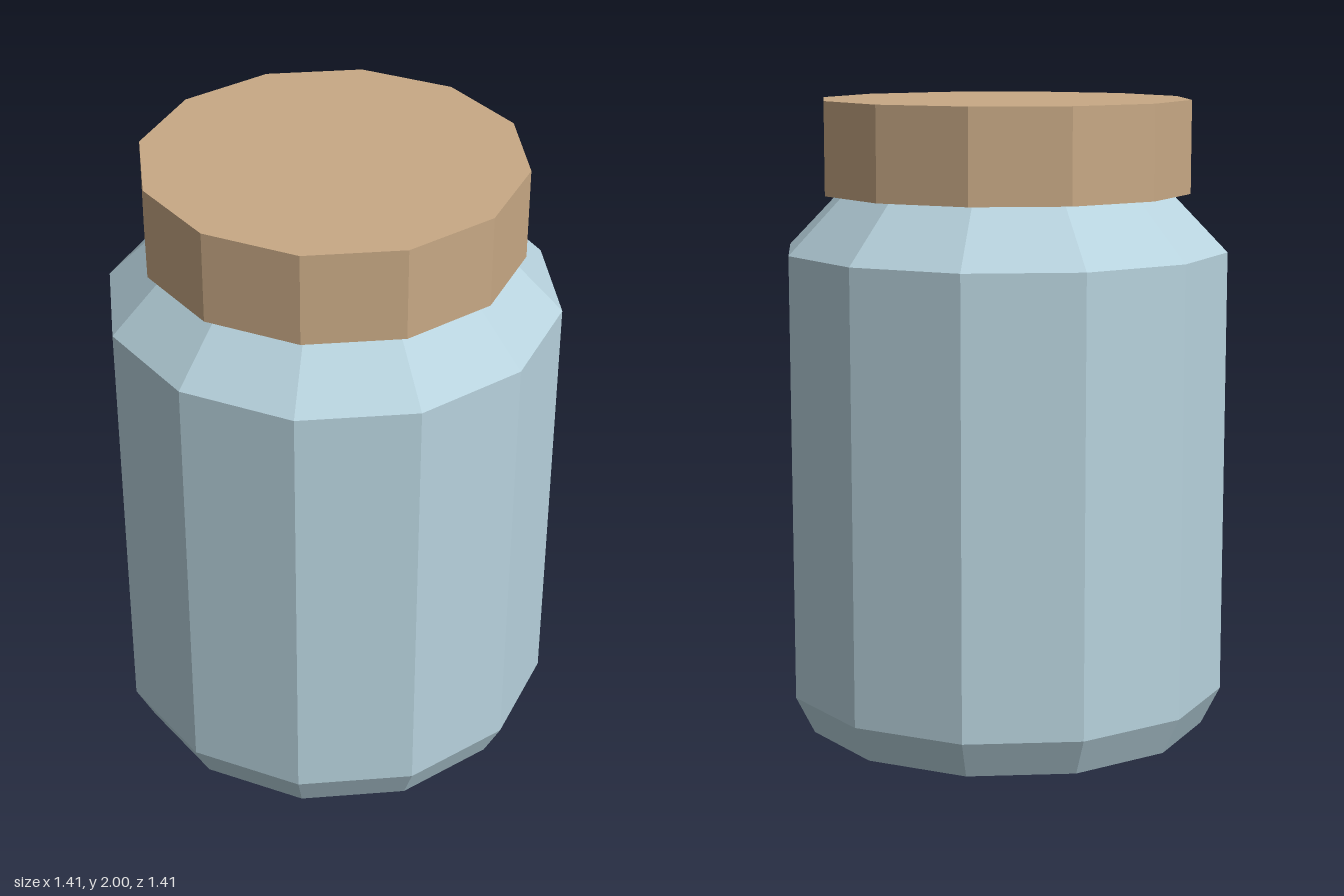
import * as THREE from 'three';

const SIDES = 12;

// Closed faceted solid turned from [radius, height] pairs, listed bottom to top
function turned(name, profile, material) {
  const points = profile.map(([r, y]) => new THREE.Vector2(r, y));
  const geometry = new THREE.LatheGeometry(points, SIDES).toNonIndexed();
  geometry.computeVertexNormals(); // one normal per facet
  const mesh = new THREE.Mesh(geometry, material);
  mesh.name = name;
  return mesh;
}

export function createModel() {
  const glass = new THREE.MeshStandardMaterial({ name: 'pale blue glass', color: 0xb8d3de, flatShading: true });
  const cork = new THREE.MeshStandardMaterial({ name: 'tan lid', color: 0xc8a985, flatShading: true });

  const jar = new THREE.Group();
  jar.name = 'jar';

  // Body: chamfered foot, straight wall, sloping shoulder up to the lid
  jar.add(turned('jarBody', [
    [0, 0], [0.645, 0], [0.705, 0.12], [0.705, 1.53], [0.53, 1.71], [0, 1.71],
  ].slice(0, 5), glass));

  // Lid: overhangs the mouth of the jar
  jar.add(turned('lid', [[0, 1.71], [0.587, 1.71], [0.587, 2], [0, 2]], cork));

  return jar;
}
